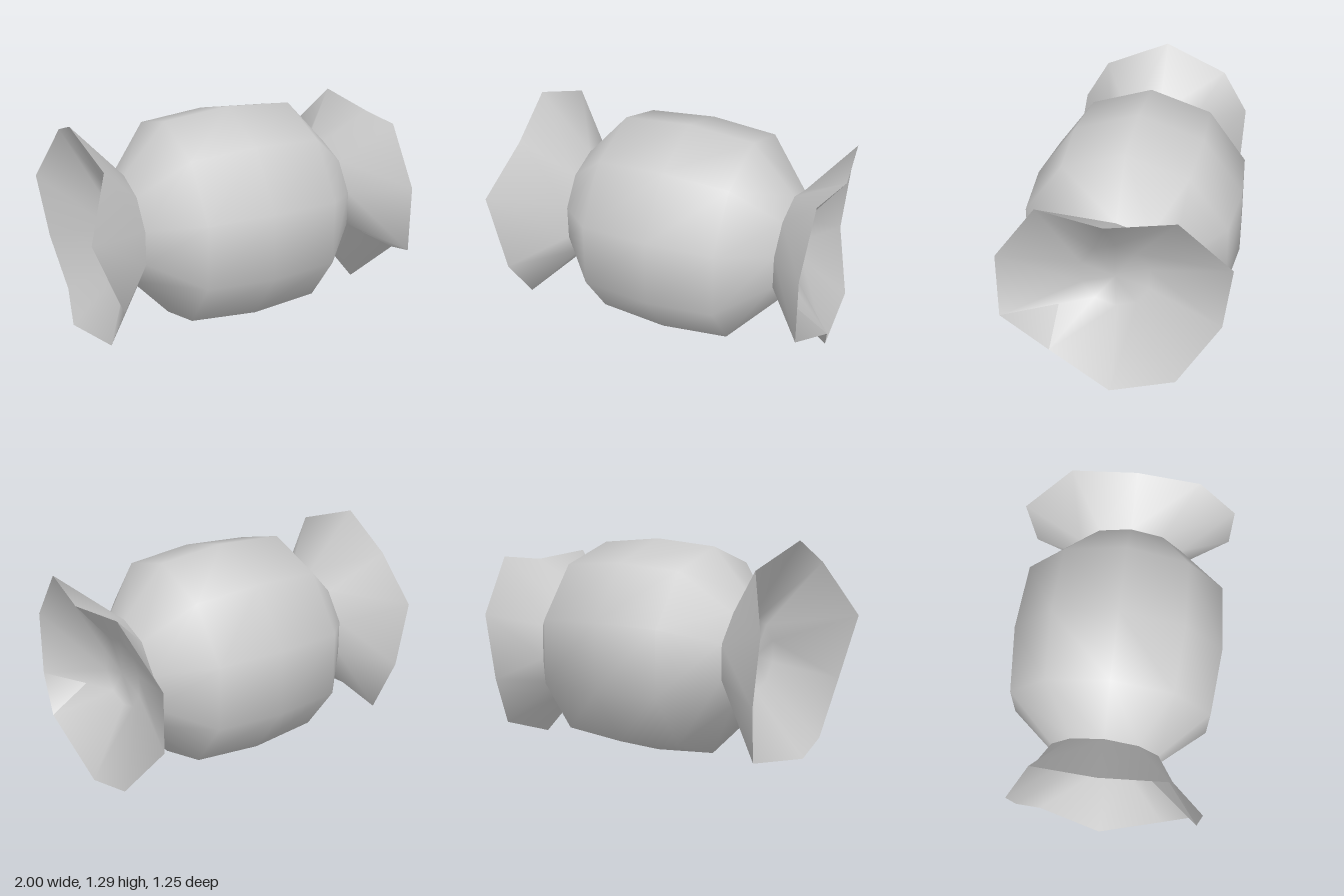
import * as THREE from 'three';

const SIDES = 10;
const CY = 0.637, CZ = 0.025; // axis of the sweet, running along x

// Point i of a ten-sided ring around the axis, starting at the top and turning towards +z
function ringPoint(x, r, i) {
  const a = (i / SIDES) * Math.PI * 2;
  return [x, CY + r * Math.cos(a), CZ + r * Math.sin(a)];
}

// Flared wrapper end: an outer skin from neck to rim, and a shallower inner funnel
// meeting it at the rim, where some corners are crumpled
function makeTwist(name, side, neckX, rimX, crumples, material) {
  const rings = [
    (i) => ringPoint(neckX, 0.32, i), // outer neck
    (i) => crumples[i] || ringPoint(rimX, 0.632, i), // outer rim
    (i) => crumples[i] || ringPoint(rimX, 0.632, i), // inner rim
    (i) => ringPoint(neckX + side * 0.03, 0.2, i), // funnel floor
  ];
  const pos = [neckX + side * 0.03, CY, CZ];
  for (const ring of rings) {
    for (let i = 0; i < SIDES; i++) pos.push(...ring(i));
  }

  const index = [];
  for (let i = 0; i < SIDES; i++) {
    const j = (i + side + SIDES) % SIDES; // turning the other way mirrors the faces
    const [n0, r0, s0, f0] = [0, 1, 2, 3].map((k) => 1 + k * SIDES + i);
    const [n1, r1, s1, f1] = [0, 1, 2, 3].map((k) => 1 + k * SIDES + j);
    index.push(n0, r1, r0, n0, n1, r1); // outer skin
    index.push(f0, s0, f1, f1, s0, s1); // inner funnel
    index.push(0, f0, f1); // floor
  }
  const geo = new THREE.BufferGeometry();
  geo.setAttribute('position', new THREE.Float32BufferAttribute(pos, 3));
  geo.setIndex(index);
  geo.computeVertexNormals();
  const mesh = new THREE.Mesh(geo, material);
  mesh.name = name;
  return mesh;
}

export function createModel() {
  const group = new THREE.Group();
  group.name = 'wrappedSweet';
  const material = new THREE.MeshStandardMaterial({ color: 0xcccccc, side: THREE.DoubleSide });

  // Barrel-shaped body turned around the x axis
  const profile = [[0.32, -0.64], [0.6, -0.39], [0.633, 0], [0.6, 0.39], [0.32, 0.64]]
    .map(([r, x]) => new THREE.Vector2(r, x));
  const body = new THREE.Mesh(new THREE.LatheGeometry(profile, SIDES, Math.PI / 2), material);
  body.name = 'body';
  body.rotation.z = -Math.PI / 2;
  body.position.set(0.03, CY, CZ);
  group.add(body);

  // Wrapper twists, each with its own crumpled rim corners
  group.add(makeTwist('leftTwist', 1, 0.67, 0.91, {
    0: [0.96, 1.11, 0.025],
    4: [1.0, 0.32, 0.33],
    7: [0.785, 0.44, -0.575],
    8: [0.81, 0.83, -0.625],
  }, material));
  group.add(makeTwist('rightTwist', -1, -0.61, -0.855, {
    0: [-0.91, 1.29, 0.025],
    2: [-1.0, 0.835, 0.575],
    5: [-0.95, 0.09, 0.025],
    7: [-0.915, 0.445, -0.46],
    8: [-0.97, 0.835, -0.48],
  }, material));
  return group;
}
